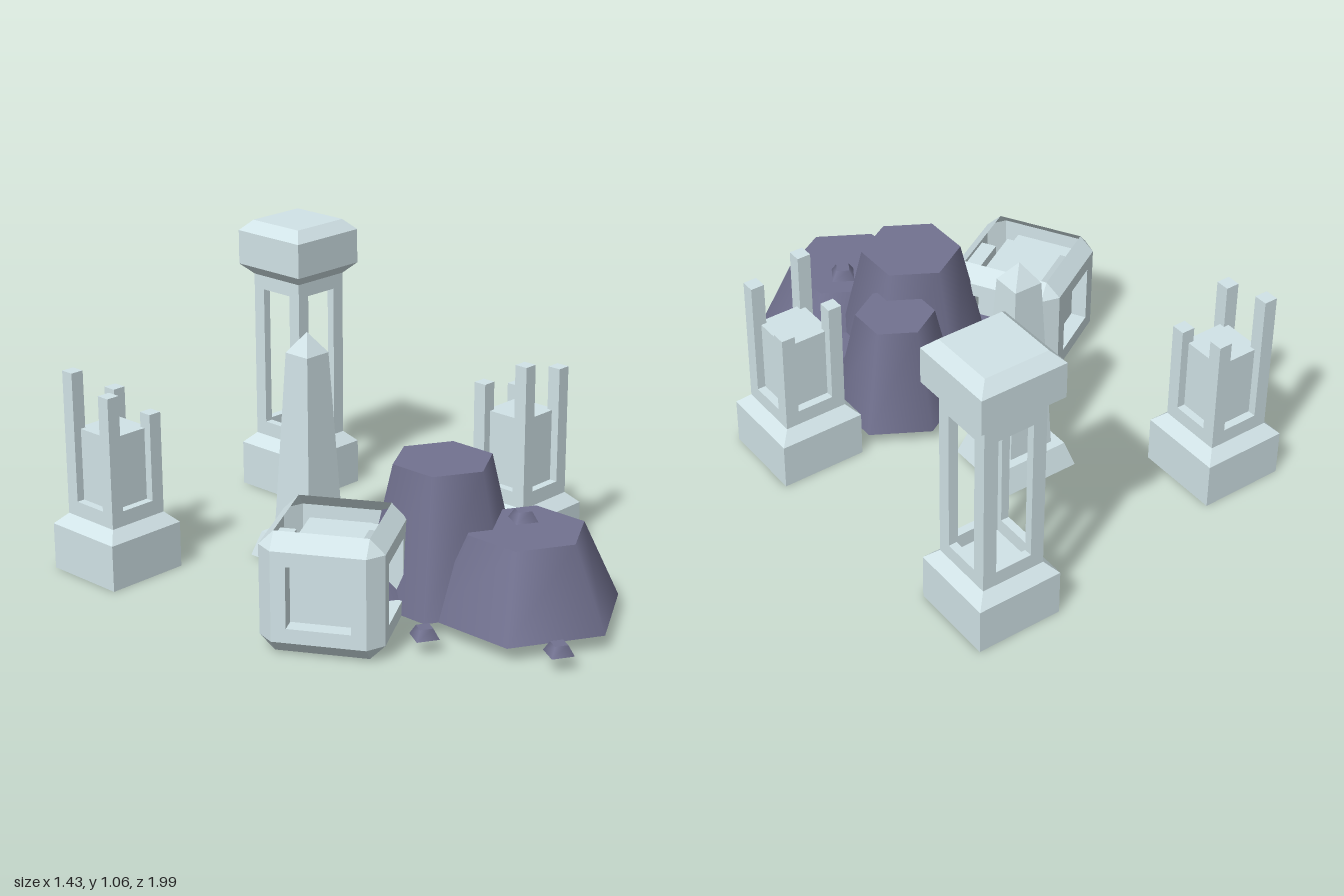
import * as THREE from 'three';

const stone = new THREE.MeshStandardMaterial({ color: 0xd1e3e7, side: THREE.DoubleSide });
stone.name = 'paleStone';
const rock = new THREE.MeshStandardMaterial({ color: 0x727290 });
rock.name = 'purpleRock';
const rockUnderside = new THREE.MeshStandardMaterial({ color: 0xbcb5c3 });
rockUnderside.name = 'greyRockUnderside';
const rockMaterials = [rock, rock, rockUnderside];

function add(parent, name, geo, mat = stone) {
  const m = new THREE.Mesh(geo, mat);
  m.name = name;
  parent.add(m);
  return m;
}

// Square frustum between two heights, flat sided
function frustum(parent, name, half0, half1, y0, y1) {
  let g = new THREE.CylinderGeometry(half1 * Math.SQRT2, half0 * Math.SQRT2, y1 - y0, 4);
  g.rotateY(Math.PI / 4);
  g = g.toNonIndexed();
  g.computeVertexNormals();
  g.translate(0, (y0 + y1) / 2, 0);
  return add(parent, name, g);
}

function block(parent, name, w, y0, y1, x = 0, z = 0) {
  const g = new THREE.BoxGeometry(w, y1 - y0, w);
  g.translate(x, (y0 + y1) / 2, z);
  return add(parent, name, g);
}

function rectangle(Type, x0, y0, x1, y1) {
  const p = new Type();
  p.moveTo(x0, y0);
  p.lineTo(x1, y0);
  p.lineTo(x1, y1);
  p.lineTo(x0, y1);
  p.closePath();
  return p;
}

const HALF = 0.158, SHAFT = 0.118, POST = 0.05;

function towerBase(parent) {
  block(parent, 'base', HALF * 2, 0, 0.17);
  frustum(parent, 'baseBevel', HALF, SHAFT, 0.17, 0.21);
}

// Intact tower: hollow shaft with four tall openings and a bevelled head
function tallTower() {
  const t = new THREE.Group();
  t.name = 'tallTower';
  towerBase(t);
  const wall = rectangle(THREE.Shape, -SHAFT, 0.21, SHAFT, 0.85);
  wall.holes.push(rectangle(THREE.Path, -SHAFT + POST, 0.265, SHAFT - POST, 0.797));
  const wallGeo = new THREE.ExtrudeGeometry(wall, { depth: 0.03, bevelEnabled: false });
  wallGeo.translate(0, 0, SHAFT - 0.03);
  for (let i = 0; i < 4; i++) add(t, 'shaftWall', wallGeo).rotation.y = i * Math.PI / 2;
  frustum(t, 'headFlare', SHAFT, HALF, 0.85, 0.89);
  block(t, 'head', HALF * 2, 0.89, 1.02);
  frustum(t, 'headBevel', HALF, SHAFT, 1.02, 1.06);
  return t;
}

// Broken tower: solid core with four corner posts of different heights
function brokenTower() {
  const t = new THREE.Group();
  t.name = 'brokenTower';
  towerBase(t);
  block(t, 'sill', SHAFT * 2, 0.21, 0.265);
  block(t, 'core', 0.176, 0.265, 0.53);
  const c = SHAFT - POST / 2;
  for (const [sx, sz, top] of [[-1, -1, 0.74], [-1, 1, 0.69], [1, -1, 0.635], [1, 1, 0.585]])
    block(t, 'cornerPost', POST, 0.265, top, sx * c, sz * c);
  return t;
}

function obelisk() {
  const o = new THREE.Group();
  o.name = 'obelisk';
  frustum(o, 'plinth', 0.148, 0.12, 0.004, 0.095);
  frustum(o, 'shaft', 0.087, 0.053, 0.095, 0.77);
  frustum(o, 'point', 0.053, 0.0001, 0.77, 0.845);
  return o;
}

// Chamfered shell with recessed windows; its top and bottom have no frame
function fallenHead() {
  const g = new THREE.Group();
  g.name = 'fallenHead';
  const R = 0.212, F = 0.16, W = 0.109, D = 0.057;
  const pts = [];
  // Triangle turned to face away from the centre
  const tri = (a, b, c) => {
    const n = b.clone().sub(a).cross(c.clone().sub(a));
    pts.push(...(n.dot(a) > 0 ? [a, b, c] : [a, c, b]));
  };
  const vec = (axis, main, s1, s2) => {
    const v = new THREE.Vector3();
    v.setComponent(axis, main);
    v.setComponent((axis + 1) % 3, s1);
    v.setComponent((axis + 2) % 3, s2);
    return v;
  };
  const signs = [-1, 1];
  for (let a = 0; a < 3; a++) for (const s of signs) for (const t of signs) {
    // Edge chamfers
    const p = [vec(a, -F, s * R, t * F), vec(a, F, s * R, t * F), vec(a, F, s * F, t * R), vec(a, -F, s * F, t * R)];
    tri(p[0], p[1], p[2]);
    tri(p[0], p[2], p[3]);
  }
  // Corner chamfers
  for (const x of signs) for (const y of signs) for (const z of signs)
    tri(new THREE.Vector3(x * R, y * F, z * F), new THREE.Vector3(x * F, y * R, z * F), new THREE.Vector3(x * F, y * F, z * R));
  const shell = new THREE.BufferGeometry().setFromPoints(pts);
  shell.computeVertexNormals();
  add(g, 'chamferedEdges', shell);

  const frame = rectangle(THREE.Shape, -F, -F, F, F);
  frame.holes.push(rectangle(THREE.Path, -W, -W, W, W));
  const frameGeo = new THREE.ShapeGeometry(frame);
  const panelGeo = new THREE.PlaneGeometry(W * 2, W * 2);
  const revealGeo = new THREE.PlaneGeometry(W * 2, D);
  revealGeo.rotateX(-Math.PI / 2);
  revealGeo.translate(0, -W, R - D / 2);
  for (let i = 0; i < 4; i++) {
    const side = new THREE.Group();
    side.name = 'windowSide';
    side.rotation.y = i * Math.PI / 2;
    add(side, 'windowFrame', frameGeo).position.z = R;
    add(side, 'windowPanel', panelGeo).position.z = R - D;
    for (let k = 0; k < 4; k++) add(side, 'windowReveal', revealGeo).rotation.z = k * Math.PI / 2;
    g.add(side);
  }
  // Loose panels inside the open top and bottom
  for (const s of signs) {
    const panel = add(g, 'endPanel', panelGeo);
    panel.position.y = s * (R - D);
    panel.rotation.x = -s * Math.PI / 2;
  }
  return g;
}

export function createModel() {
  const model = new THREE.Group();
  model.name = 'ruins';
  const place = (obj, x, y, z, turn = 0) => {
    obj.position.set(x, y, z);
    obj.rotation.y = turn;
    model.add(obj);
  };
  place(tallTower(), 0.481, 0, -0.841);
  place(brokenTower(), -0.559, 0, -0.727);
  place(brokenTower(), 0.56, 0, 0.195, Math.PI / 2);
  place(obelisk(), -0.018, 0, -0.304);
  place(fallenHead(), -0.441, 0.212, 0.23, Math.PI / 6);

  // Six-sided boulders: x, z, bottom radius, top radius, top height
  for (const [x, z, r0, r1, top] of [
    [0.071, 0.628, 0.342, 0.208, 0.34],
    [-0.017, 0.333, 0.29, 0.177, 0.535],
    [0.171, 0.159, 0.226, 0.14, 0.44],
    [-0.221, 0.178, 0.226, 0.14, 0.2],
    [0.304, 0.446, 0.226, 0.14, 0.2],
  ]) {
    const h = top - 0.055;
    add(model, 'boulder', new THREE.CylinderGeometry(r1, r0, h, 6), rockMaterials).position.set(x, 0.055 + h / 2, z);
  }
  // Four-sided pebbles
  const pebbleGeo = new THREE.CylinderGeometry(0.032, 0.056, 0.035, 4);
  for (const [x, y, z] of [[-0.337, 0.055, 0.541], [-0.135, 0.055, 0.941], [0.123, 0.34, 0.572]]) {
    const p = add(model, 'pebble', pebbleGeo, rockMaterials);
    p.position.set(x, y + 0.0175, z);
    p.rotation.y = Math.PI / 12;
  }
  return model;
}
